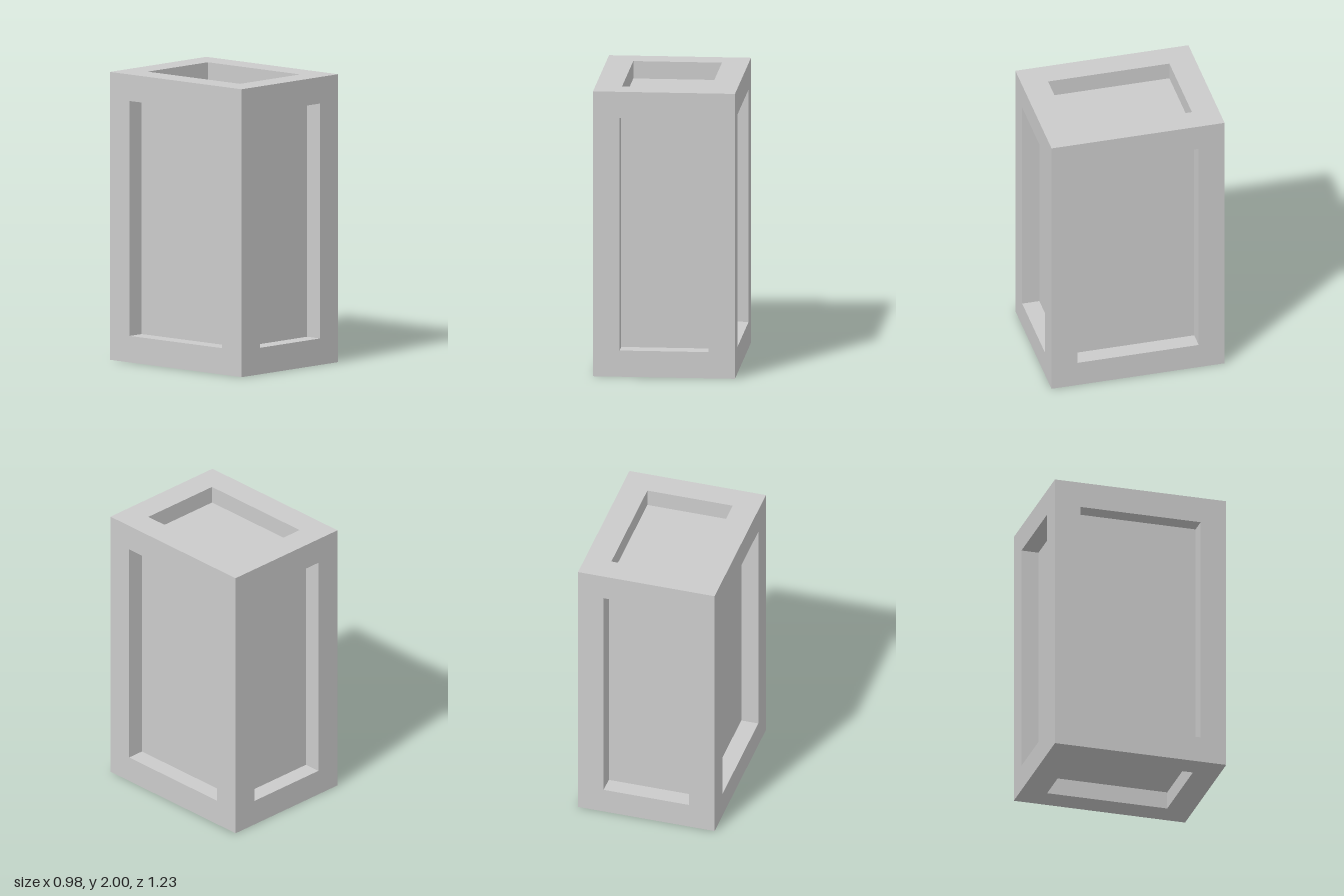
import * as THREE from 'three';

const W = 0.98, H = 2, D = 1.23; // outer size
const BORDER = 0.184;            // width of the frame around each panel
const RECESS = 0.122;            // depth of each panel below the frame

// Corners of a centred rectangle, counter-clockwise, at depth z
const ring = (w, h, z) =>
  [[-1, -1], [1, -1], [1, 1], [-1, 1]].map(([sx, sy]) => [sx * w / 2, sy * h / 2, z]);

// Skin between successive four-cornered rings, with flat facets
function bridge(rings) {
  const pos = [];
  for (let r = 0; r < rings.length - 1; r++) {
    for (let i = 0; i < 4; i++) {
      const j = (i + 1) % 4;
      const a = rings[r][i], b = rings[r][j], c = rings[r + 1][j], d = rings[r + 1][i];
      pos.push(...a, ...b, ...c, ...a, ...c, ...d);
    }
  }
  const geo = new THREE.BufferGeometry();
  geo.setAttribute('position', new THREE.Float32BufferAttribute(pos, 3));
  geo.computeVertexNormals();
  return geo;
}

// One side of the crate: raised frame, inner walls and sunken panel, facing +z
function recessedSide(name, w, h, material) {
  const iw = w - 2 * BORDER, ih = h - 2 * BORDER;
  const side = new THREE.Group();
  side.name = name;

  const frame = new THREE.Mesh(
    bridge([ring(w, h, 0), ring(iw, ih, 0), ring(iw, ih, -RECESS)]), material);
  frame.name = name + 'Frame';

  const panel = new THREE.Mesh(new THREE.PlaneGeometry(iw, ih), material);
  panel.name = name + 'Panel';
  panel.position.z = -RECESS;

  side.add(frame, panel);
  return side;
}

export function createModel() {
  const material = new THREE.MeshStandardMaterial({ color: 0xcccccc, flatShading: true });
  const crate = new THREE.Group();
  crate.name = 'crate';

  // name, width, height, distance from centre, x turn, y turn
  const sides = [
    ['front', W, H, D / 2, 0, 0],
    ['back', W, H, D / 2, 0, Math.PI],
    ['left', D, H, W / 2, 0, Math.PI / 2],
    ['right', D, H, W / 2, 0, -Math.PI / 2],
    ['top', W, D, H / 2, -Math.PI / 2, 0],
    ['bottom', W, D, H / 2, Math.PI / 2, 0],
  ];
  for (const [name, w, h, distance, rx, ry] of sides) {
    const side = recessedSide(name, w, h, material);
    side.rotation.set(rx, ry, 0);
    side.translateZ(distance);
    side.position.y += H / 2;
    crate.add(side);
  }
  return crate;
}
